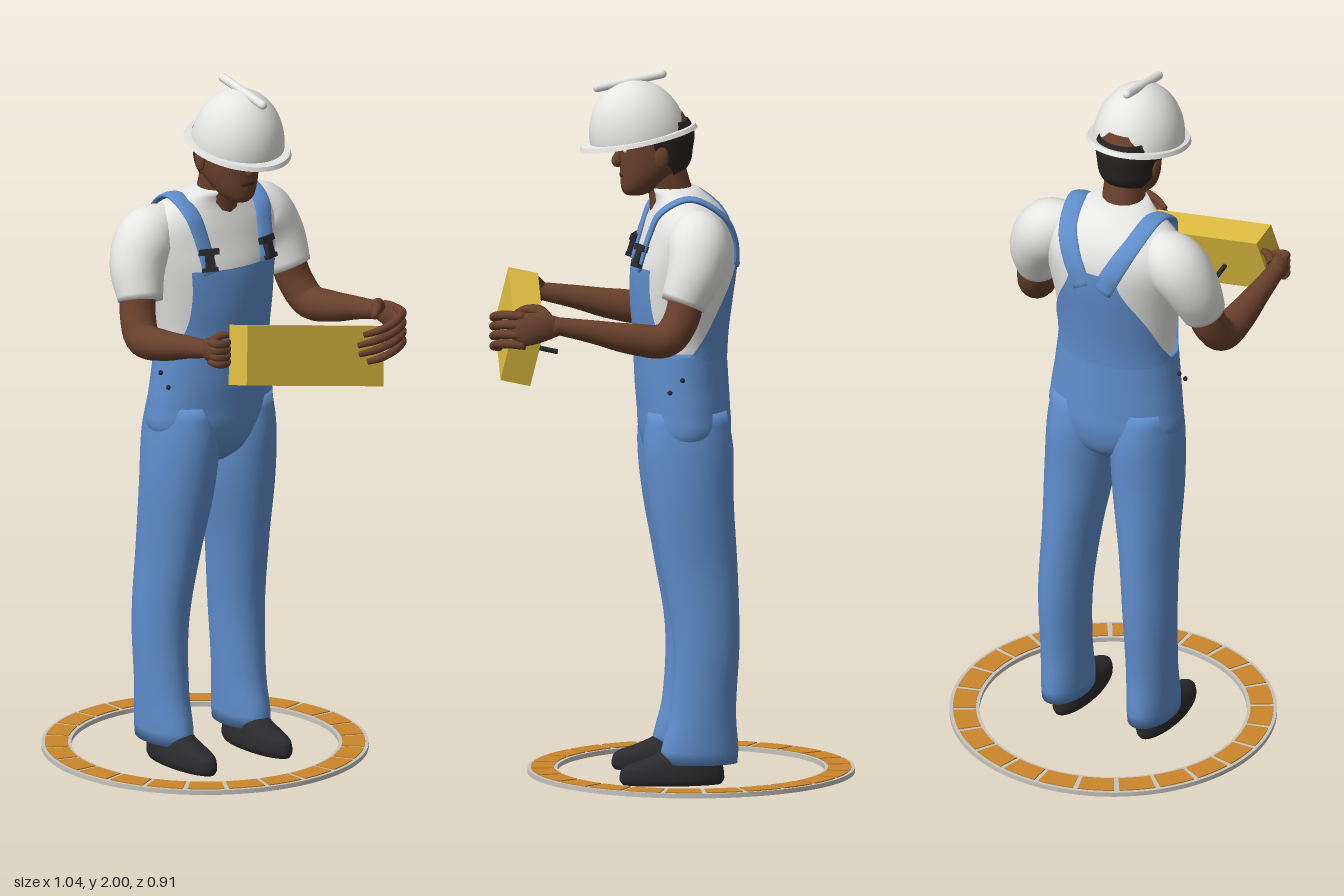
import * as THREE from 'three';

const mat = (name, color, double) => {
  const m = new THREE.MeshStandardMaterial({ color });
  m.name = name;
  if (double) m.side = THREE.DoubleSide;
  return m;
};
const V = (x, y, z) => new THREE.Vector3(x, y, z);

// Surface through rows of points; optionally closed around and capped
function grid(rows, closed = true) {
  const n = rows[0].length, pos = [], idx = [];
  rows.forEach(r => r.forEach(p => pos.push(p.x, p.y, p.z)));
  for (let i = 0; i < rows.length - 1; i++)
    for (let j = 0; j < (closed ? n : n - 1); j++) {
      const k = (j + 1) % n, a = i * n + j, b = i * n + k;
      idx.push(a, a + n, b, b, a + n, b + n);
    }
  if (closed) [0, rows.length - 1].forEach((r, top) => {
    const c = V(0, 0, 0), id = pos.length / 3;
    rows[r].forEach(p => c.addScaledVector(p, 1 / n));
    pos.push(c.x, c.y, c.z);
    for (let j = 0; j < n; j++) {
      const a = r * n + j, b = r * n + (j + 1) % n;
      if (top) idx.push(a, id, b); else idx.push(a, b, id);
    }
  });
  const g = new THREE.BufferGeometry();
  g.setAttribute('position', new THREE.Float32BufferAttribute(pos, 3));
  g.setIndex(idx);
  g.computeVertexNormals();
  return g;
}

// Smooth value of a table [y, ...values] at height y
function at(t, y) {
  let i = 0;
  while (i < t.length - 2 && y > t[i + 1][0]) i++;
  const a = t[i], b = t[i + 1], p = t[Math.max(i - 1, 0)], q = t[Math.min(i + 2, t.length - 1)];
  const h = b[0] - a[0], u = (y - a[0]) / h;
  return a.slice(1).map((v, k) => {
    const w = b[k + 1], m0 = (w - p[k + 1]) / (b[0] - p[0]) * h, m1 = (q[k + 1] - v) / (q[0] - a[0]) * h;
    return v * (1 + 2 * u) * (1 - u) ** 2 + m0 * u * (1 - u) ** 2 + w * u * u * (3 - 2 * u) + m1 * u * u * (u - 1);
  });
}

// Point on a body described by [y, cx, rx, rz]; angle 0 faces forward
const onBody = (t, y, a, grow = 0, cz = 0) => {
  const [cx, rx, rz] = at(t, y);
  return V(cx + (rx + grow) * Math.cos(a), y, cz + (rz + grow) * Math.sin(a));
};
const heights = (a, b, n) => Array.from({ length: n + 1 }, (_, i) => a + (b - a) * i / n);
const body = (t, cz = 0, steps = 28, sides = 36) => grid(heights(t[0][0], t[t.length - 1][0], steps)
  .map(y => heights(0, 2 * Math.PI, sides).slice(0, -1).map(a => onBody(t, y, a, 0, cz))));
// Cloth lying on a body, around the angle mid; edge = [y, half angle in degrees]
const patch = (t, edge, mid, grow) => grid(heights(edge[0][0], edge[edge.length - 1][0], 16).map(y => {
  const h = at(edge, y)[0] * Math.PI / 180;
  return heights(mid - h, mid + h, 24).map(a => onBody(t, y, a, grow));
}), false);

// Tapered tube along points
function limb(pts, radii, ref = V(0, 1, 0), flat = 1, steps = 20, sides = 16) {
  const c = new THREE.CatmullRomCurve3(pts.map(p => V(...p)));
  const table = radii.map((r, i) => [i / (radii.length - 1), r]);
  return grid(heights(0, 1, steps).map(t => {
    const p = c.getPoint(t), T = c.getTangent(t), r = at(table, t)[0];
    const N = ref.clone().cross(T).normalize(), B = T.clone().cross(N);
    return heights(0, 2 * Math.PI, sides).slice(0, -1).map(a =>
      p.clone().addScaledVector(N, r * flat * Math.cos(a)).addScaledVector(B, -r * Math.sin(a)));
  }));
}

export function createModel() {
  const skin = mat('skin', 0x68402c), white = mat('white', 0xe6e6e4), denim = mat('denim', 0x5f8dcb, true);
  const black = mat('black', 0x2b2b2d), hairMat = mat('hair', 0x27221f, true), yellow = mat('yellow', 0xd9b83f);
  const orange = mat('orange', 0xcb862b), grey = mat('light grey', 0xc6c4be), dark = mat('dark skin', 0x402418);
  const model = new THREE.Group();
  const add = (name, geo, m, parent = model) => {
    const mesh = new THREE.Mesh(geo, m);
    mesh.name = name;
    parent.add(mesh);
    return mesh;
  };
  const ball = (name, m, p, s, parent) => {
    const b = add(name, new THREE.SphereGeometry(1, 20, 14), m, parent);
    b.position.set(...p);
    b.scale.set(...s);
    return b;
  };
  const box = (name, m, p, s, parent) => {
    const b = add(name, new THREE.BoxGeometry(...s), m, parent);
    b.position.set(...p);
    return b;
  };

  // Floor ring with inlaid segments
  const arcPlate = (r0, r1, a0, a1, depth, y) => {
    const s = new THREE.Shape();
    s.absarc(0, 0, r1, a0, a1, false);
    s.absarc(0, 0, r0, a1, a0, true);
    return new THREE.ExtrudeGeometry(s, { depth, bevelEnabled: false, curveSegments: 6 }).rotateX(-Math.PI / 2).translate(-0.06, y, 0);
  };
  const disc = new THREE.Shape().absarc(0, 0, 0.457, 0, Math.PI * 2, false);
  disc.holes.push(new THREE.Path().absarc(0, 0, 0.373, 0, Math.PI * 2, true));
  add('floorRing', new THREE.ExtrudeGeometry(disc, { depth: 0.013, bevelEnabled: false, curveSegments: 96 })
    .rotateX(-Math.PI / 2).translate(-0.06, 0.012, 0), grey);
  for (let i = 0; i < 24; i++) {
    const a = i * Math.PI / 12;
    add('ringSegment', arcPlate(0.383, 0.447, a + 0.016, a + Math.PI / 12 - 0.016, 0.003, 0.025), orange);
  }

  // Shirt torso and overalls
  const torso = [[1.16, -0.03, 0.122, 0.172], [1.25, -0.03, 0.125, 0.17], [1.35, -0.032, 0.135, 0.185],
    [1.45, -0.04, 0.14, 0.205], [1.52, -0.05, 0.13, 0.22], [1.57, -0.05, 0.116, 0.215],
    [1.61, -0.045, 0.097, 0.18], [1.64, -0.033, 0.078, 0.125], [1.67, -0.008, 0.066, 0.075]];
  add('shirt', body(torso), white);
  add('overallsWaist', body([[0.87, -0.045, 0.06, 0.05], [0.91, -0.045, 0.105, 0.14], [0.98, -0.042, 0.128, 0.198],
    [1.05, -0.038, 0.13, 0.197], [1.12, -0.033, 0.131, 0.188], [1.22, -0.028, 0.13, 0.177]]), denim);
  add('bib', patch(torso, [[1.2, 88], [1.24, 66], [1.3, 53], [1.38, 46], [1.455, 43]], 0, 0.008), denim);
  add('backPanel', patch(torso, [[1.2, 88], [1.26, 68], [1.36, 45], [1.45, 25], [1.51, 17]], Math.PI, 0.008), denim);

  const leg = [[0.06, -0.07, 0.108, 0.062], [0.1, -0.073, 0.108, 0.064], [0.2, -0.082, 0.092, 0.066],
    [0.4, -0.091, 0.093, 0.072], [0.6, -0.073, 0.107, 0.079], [0.8, -0.05, 0.12, 0.097],
    [0.95, -0.043, 0.126, 0.098], [1.05, -0.04, 0.11, 0.085]];
  const shoe = [[0, 0.005, 0.138, 0.045], [0.012, 0.005, 0.146, 0.051], [0.028, 0.005, 0.146, 0.052],
    [0.05, 0, 0.138, 0.049], [0.075, -0.03, 0.1, 0.044], [0.11, -0.06, 0.06, 0.038]];
  const up = V(0, 0, 1);
  for (const s of [1, -1]) {
    // Legs lean outwards towards the hem
    const g = body(leg), p = g.attributes.position;
    for (let i = 0; i < p.count; i++)
      p.setZ(i, p.getZ(i) + s * (0.136 - 0.036 * THREE.MathUtils.smoothstep(p.getY(i), 0.3, 1)));
    g.computeVertexNormals();
    add('trouserLeg', g, denim);
    add('shoe', body(shoe, s * 0.133), black);
    for (const y of [1.115, 1.15]) ball('sideButton', black, [-0.02 + (1.15 - y), y, s * 0.188], [0.007, 0.007, 0.006]);

    // Shoulder straps with buckles
    add('strap', limb([[-0.184, 1.46, 0.03 * s], [-0.176, 1.53, 0.065 * s], [-0.14, 1.6, 0.1 * s], [-0.045, 1.651, 0.122 * s],
      [0.037, 1.612, 0.122 * s], [0.066, 1.55, 0.112 * s], [0.096, 1.45, 0.1 * s]],
    [0.03, 0.03, 0.028, 0.028, 0.027, 0.025, 0.025], up, 0.3, 36), denim);
    const b = new THREE.Group();
    b.name = 'buckle';
    b.position.set(0.093, 1.495, 0.104 * s);
    b.rotation.set(0, -0.35 * s, 0.3);
    model.add(b);
    box('buckleTop', black, [0, 0.018, 0], [0.016, 0.018, 0.058], b);
    box('buckleClip', black, [0, -0.01, 0], [0.016, 0.045, 0.026], b);
    box('buckleHook', black, [0, -0.032, 0], [0.016, 0.012, 0.044], b);

    // Sleeves and arms
    add('sleeve', limb([[-0.055, 1.575, 0.12 * s], [-0.065, 1.54, 0.195 * s], [-0.052, 1.47, 0.243 * s], [-0.015, 1.375, 0.263 * s]],
      [0.055, 0.086, 0.08, 0.063], V(1, 0, 0), 1, 20, 24), white);
    add('arm', limb([[-0.03, 1.42, 0.258 * s], [-0.008, 1.335, 0.278 * s], [0.035, 1.283, 0.293 * s], [0.13, 1.288, 0.298 * s],
      [0.24, 1.31, 0.3 * s], [0.35, 1.33, 0.3 * s]], [0.05, 0.05, 0.049, 0.044, 0.033, 0.024], up, 1, 36, 20), skin);
  }

  // Right hand gripping the end of the case
  ball('rightPalm', skin, [0.355, 1.33, 0.298], [0.038, 0.037, 0.026]);
  for (let i = 0; i < 4; i++)
    add('rightFinger', limb([[0.36, 1.355 - i * 0.018, 0.31], [0.387, 1.355 - i * 0.019, 0.305],
      [0.388, 1.35 - i * 0.019, 0.275], [0.37, 1.348 - i * 0.018, 0.252]], [0.011, 0.012, 0.011, 0.008]), skin);
  add('rightThumb', limb([[0.34, 1.35, 0.285], [0.352, 1.365, 0.265], [0.362, 1.365, 0.245]], [0.013, 0.012, 0.008]), skin);

  // Left hand wrapped around the far end of the case
  add('leftPalm', limb([[0.33, 1.327, -0.3], [0.38, 1.325, -0.306], [0.43, 1.318, -0.297], [0.462, 1.31, -0.278]],
    [0.025, 0.04, 0.046, 0.034], V(0, 1, 0), 0.42), skin);
  for (let i = 0; i < 4; i++) {
    const y = 1.355 - i * 0.027, l = [0, 0.02, 0.016, -0.012][i];
    add('leftFinger', limb([[0.43, y, -0.298], [0.478, y + 0.002, -0.278], [0.507, y - 0.008, -0.23],
      [0.507, y - 0.022, -0.175 + l * 0.5], [0.488, y - 0.032, -0.135 + l]], [0.013, 0.013, 0.012, 0.011, 0.008]), skin);
  }
  add('leftThumb', limb([[0.36, 1.34, -0.295], [0.385, 1.365, -0.265], [0.42, 1.365, -0.235], [0.445, 1.352, -0.205]],
    [0.016, 0.016, 0.013, 0.009]), skin);

  // Tilted case with two rods on its back
  const caseGroup = new THREE.Group();
  caseGroup.name = 'case';
  const along = V(-0.022, 0.085, 0.46).normalize(), rise = V(-0.037, 0.165, 0);
  const out = rise.clone().cross(along).normalize();
  caseGroup.quaternion.setFromRotationMatrix(new THREE.Matrix4().makeBasis(out, along.clone().cross(out), along));
  caseGroup.position.set(0.42, 1.275, 0.015);
  model.add(caseGroup);
  box('caseBody', yellow, [0, 0, 0], [0.085, 0.168, 0.474], caseGroup);
  for (const z of [-0.1, 0.1]) {
    const rod = add('caseRod', new THREE.CylinderGeometry(0.007, 0.007, 0.07, 12), black, caseGroup);
    rod.rotation.z = Math.PI / 2;
    rod.position.set(-0.075, -0.015, z);
  }
  box('caseLatch', dark, [-0.045, 0, 0], [0.012, 0.014, 0.03], caseGroup);

  // Neck, head and face
  add('neck', limb([[-0.012, 1.61, 0], [0.002, 1.67, 0], [0.025, 1.75, 0]], [0.068, 0.06, 0.062], up), skin);
  const head = [[1.648, 0.098, 0.026, 0.026], [1.66, 0.088, 0.046, 0.044], [1.69, 0.068, 0.07, 0.064],
    [1.73, 0.046, 0.093, 0.079], [1.78, 0.04, 0.099, 0.085], [1.83, 0.038, 0.1, 0.087], [1.88, 0.045, 0.08, 0.075]];
  add('head', body(head), skin);
  add('hair', patch(head, [[1.71, 48], [1.75, 78], [1.79, 96], [1.86, 104]], Math.PI, 0.006), hairMat);
  add('nose', limb([[0.133, 1.785, 0], [0.143, 1.762, 0], [0.147, 1.742, 0], [0.136, 1.732, 0]], [0.008, 0.011, 0.016, 0.01], up), skin);
  ball('mouth', dark, [0.133, 1.704, 0], [0.008, 0.007, 0.026]);
  for (const s of [1, -1]) {
    ball('ear', skin, [0.03, 1.765, 0.088 * s], [0.02, 0.032, 0.01]);
    ball('eye', white, [0.127, 1.777, 0.034 * s], [0.007, 0.006, 0.012]);
    ball('pupil', black, [0.131, 1.777, 0.034 * s], [0.005, 0.005, 0.005]);
    const brow = ball('brow', hairMat, [0.128, 1.795, 0.036 * s], [0.009, 0.005, 0.021]);
    brow.rotation.y = -0.35 * s;
  }

  // Hard hat with brim and ridge
  const hat = new THREE.Group();
  hat.name = 'hardHat';
  hat.position.set(0.088, 1.811, 0);
  hat.rotation.z = -0.2;
  model.add(hat);
  const dome = add('hatDome', new THREE.SphereGeometry(1, 40, 16, 0, Math.PI * 2, 0, Math.PI / 2), white, hat);
  dome.scale.set(0.137, 0.162, 0.127);
  const brim = add('hatBrim', new THREE.CylinderGeometry(0.97, 1, 0.012, 48), white, hat);
  brim.scale.set(0.168, 1, 0.142);
  const ridge = add('hatRidge', new THREE.CapsuleGeometry(0.0125, 0.185, 6, 14), white, hat);
  ridge.rotation.z = Math.PI / 2;
  ridge.position.set(-0.008, 0.159, 0);
  return model;
}
